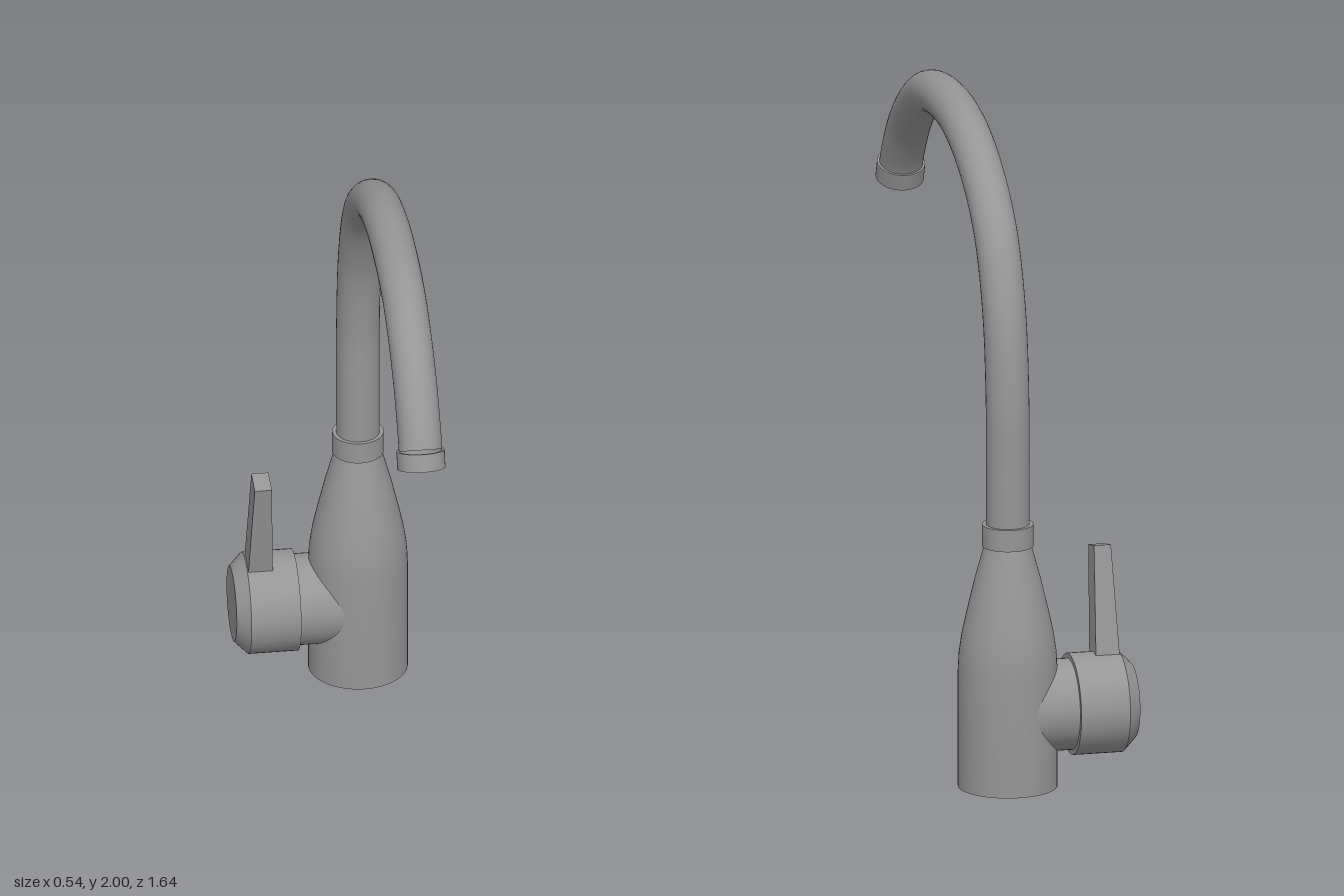
import * as THREE from 'three';
import { toCreasedNormals } from 'three/addons/utils/BufferGeometryUtils.js';

const material = new THREE.MeshStandardMaterial({ color: 0x969696 });
const openMaterial = new THREE.MeshStandardMaterial({ color: 0x969696, side: THREE.DoubleSide });

const X = 0.115, Z = -0.664; // axis of the body

// Solid of revolution from [radius, height] pairs, with sharp edges kept
function turned(name, profile, mat = material) {
  const points = profile.map(([r, y]) => new THREE.Vector2(r, y));
  const geometry = toCreasedNormals(new THREE.LatheGeometry(points, 48), 0.55);
  const mesh = new THREE.Mesh(geometry, mat);
  mesh.name = name;
  return mesh;
}

export function createModel() {
  const model = new THREE.Group();
  model.name = 'kitchenTap';

  // Bottle-shaped body and the collar on its neck
  const body = turned('body', [
    [0, 0], [0.151, 0], [0.151, 0.36], [0.148, 0.42], [0.139, 0.48],
    [0.125, 0.545], [0.1, 0.65], [0.071, 0.755], [0, 0.755],
  ]);
  body.position.set(X, 0, Z);
  const collar = turned('collar', [[0, 0.752], [0.078, 0.752], [0.078, 0.82], [0, 0.82]]);
  collar.position.set(X, 0, Z);
  model.add(body, collar);

  // Gooseneck spout, as [z, y] points
  const path = new THREE.CatmullRomCurve3([
    [Z, 0.8], [Z, 1.0], [-0.662, 1.2], [-0.62, 1.465], [-0.512, 1.682], [-0.337, 1.825],
    [-0.13, 1.908], [0.11, 1.934], [0.38, 1.892], [0.595, 1.757], [0.7, 1.632], [0.732, 1.578],
  ].map(([z, y]) => new THREE.Vector3(X, y, z)));
  const spout = new THREE.Mesh(new THREE.TubeGeometry(path, 96, 0.066, 32), openMaterial);
  spout.name = 'spout';
  model.add(spout);

  // Hollow ring at the outlet
  const ring = turned('outletRing',
    [[0.065, 0], [0.073, 0], [0.073, 0.055], [0.067, 0.055], [0.065, 0]], openMaterial);
  ring.position.set(X, 1.578, 0.732);
  ring.quaternion.setFromUnitVectors(
    new THREE.Vector3(0, 1, 0), new THREE.Vector3(0, -0.94, 0.34).normalize());
  model.add(ring);

  // Side valve: neck and chamfered knob, turned about the x axis
  const valve = new THREE.Group();
  valve.name = 'valve';
  valve.add(
    turned('valveNeck', [[0, 0], [0.139, 0], [0.139, 0.2], [0, 0.2]]),
    turned('valveKnob', [[0, 0.193], [0.155, 0.193], [0.155, 0.345], [0.115, 0.385], [0, 0.385]]),
  );
  valve.rotation.z = Math.PI / 2;
  valve.position.set(X, 0.243, Z);
  model.add(valve);

  // Lever: a box tapering and leaning forward towards its slanted top
  const box = new THREE.BoxGeometry(1, 1, 1);
  const p = box.attributes.position;
  for (let i = 0; i < p.count; i++) {
    const top = p.getY(i) > 0, front = p.getZ(i) > 0;
    const halfWidth = top ? 0.026 : 0.038;
    p.setXYZ(i,
      -0.19 + Math.sign(p.getX(i)) * halfWidth,
      top ? (front ? 0.705 : 0.722) : 0.36,
      top ? (front ? -0.543 : -0.62) : (front ? -0.608 : -0.697));
  }
  box.computeVertexNormals();
  const lever = new THREE.Mesh(box, material);
  lever.name = 'lever';
  model.add(lever);

  return model;
}
